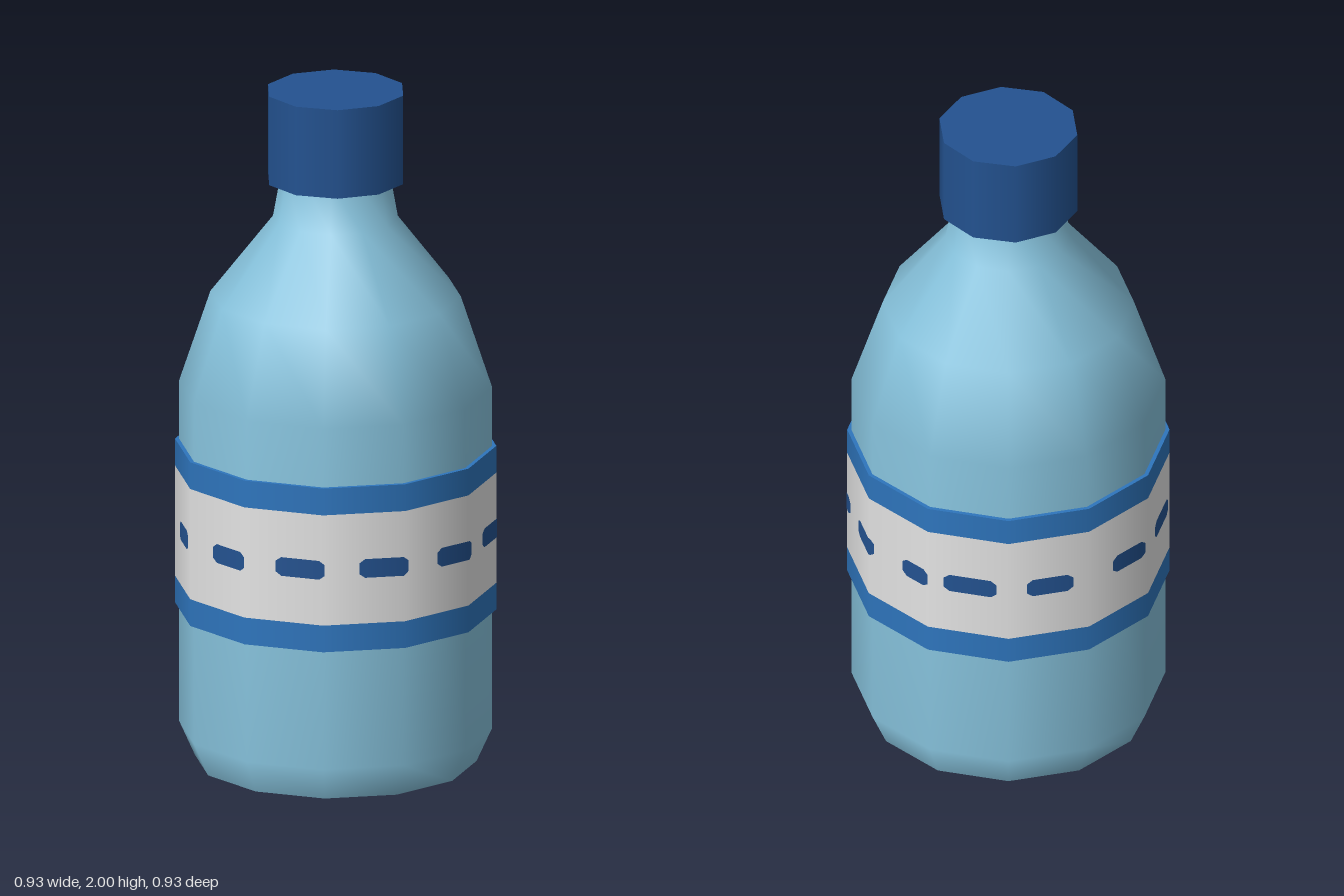
import * as THREE from 'three';

const SIDES = 12, LABEL_R = 0.462;

const material = (name, color) => {
  const m = new THREE.MeshStandardMaterial({ color });
  m.name = name;
  return m;
};

// Point on the twelve-sided label; u counts facets from the front towards +x
function facetPoint(u, r, y) {
  const i = Math.floor(u), t = u - i, step = (Math.PI * 2) / SIDES;
  const corner = (k) => new THREE.Vector3(r * Math.sin(k * step), y, r * Math.cos(k * step));
  return corner(i).lerp(corner(i + 1), t);
}

// Thin dash with clipped corners, bent around the label facets
function dashGeometry(u0, u1) {
  const columns = [[u0, 0.016], [u0 + 0.07, 0.028]];
  for (let k = Math.ceil(u0 + 0.08); k < u1 - 0.08; k++) columns.push([k, 0.028]);
  columns.push([u1 - 0.07, 0.028], [u1, 0.016]);
  const pos = [], nor = [], index = [];
  columns.forEach(([u, h], i) => {
    const a = (u * Math.PI * 2) / SIDES;
    for (const y of [0.7 - h, 0.7 + h]) {
      pos.push(...facetPoint(u, LABEL_R + 0.002, y).toArray());
      nor.push(Math.sin(a), 0, Math.cos(a));
    }
    if (i) {
      const b = i * 2;
      index.push(b - 2, b, b - 1, b, b + 1, b - 1);
    }
  });
  const g = new THREE.BufferGeometry();
  g.setAttribute('position', new THREE.Float32BufferAttribute(pos, 3));
  g.setAttribute('normal', new THREE.Float32BufferAttribute(nor, 3));
  g.setIndex(index);
  return g;
}

export function createModel() {
  const group = new THREE.Group();
  group.name = 'bottle';
  const plastic = material('lightBluePlastic', 0x87c3dd);
  const navy = material('navyBlue', 0x235290);
  const blue = material('bandBlue', 0x2e75bd);
  const white = material('labelWhite', 0xe4e4e4);

  const add = (name, geometry, mat, y = 0) => {
    const mesh = new THREE.Mesh(geometry, mat);
    mesh.name = name;
    mesh.position.y = y;
    group.add(mesh);
    return mesh;
  };

  // Body, shoulder and neck
  const profile = [[0.405, 0], [0.45, 0.1], [0.45, 1.12], [0.36, 1.39], [0.18, 1.62], [0.155, 1.76]]
    .map(([r, y]) => new THREE.Vector2(r, y));
  add('body', new THREE.LatheGeometry(profile, SIDES), plastic);
  add('base', new THREE.CircleGeometry(0.405, SIDES).rotateX(Math.PI / 2), plastic);

  // Cap
  add('cap', new THREE.CylinderGeometry(0.202, 0.202, 0.265, 10), navy, 1.8675);

  // Label: white wrap between two blue bands
  add('labelWrap', new THREE.CylinderGeometry(LABEL_R, LABEL_R, 0.33, SIDES, 1, true), white, 0.7);
  for (const [name, y] of [['lowerBand', 0.495], ['upperBand', 0.905]]) {
    add(name, new THREE.CylinderGeometry(LABEL_R, LABEL_R, 0.08, SIDES), blue, y);
  }

  // Dashes around the label, with a short one at the rear seam
  const dashes = [
    [-5.8, -5.15], [-4.77, -4.2], [-3.6, -3.05], [-2.7, -2.1], [-1.64, -1.1], [-0.57, 0],
    [0.4, 1.02], [1.44, 2.05], [2.5, 3.09], [3.48, 4.18], [4.55, 5.1], [5.58, 6],
  ];
  for (const [u0, u1] of dashes) add('labelDash', dashGeometry(u0, u1), navy);

  return group;
}
